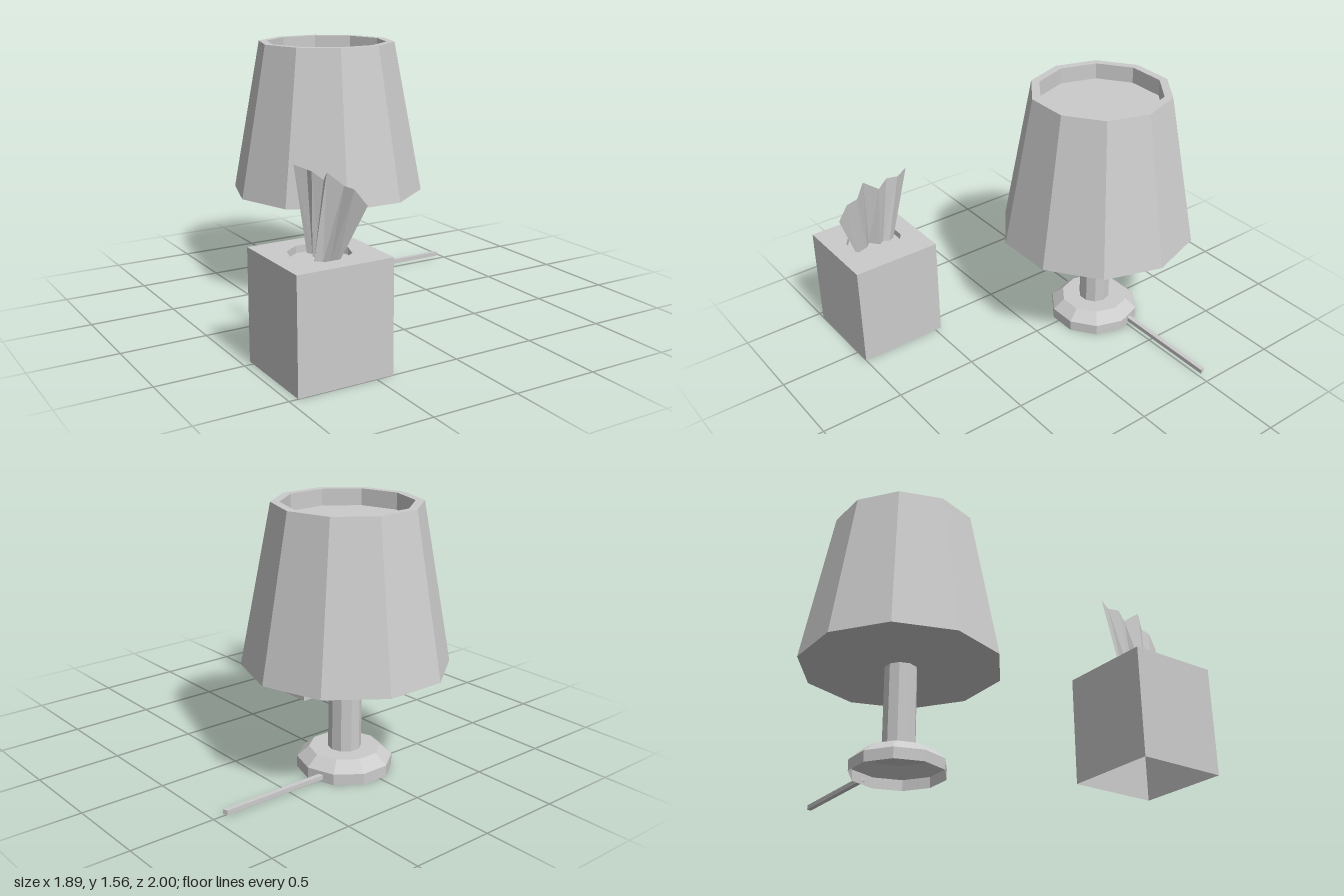
import * as THREE from 'three';

const SIDES = 10;

function mesh(name, geometry, doubleSided = false) {
  const material = new THREE.MeshStandardMaterial({
    color: 0xcccccc,
    flatShading: true,
    side: doubleSided ? THREE.DoubleSide : THREE.FrontSide,
  });
  const m = new THREE.Mesh(geometry, material);
  m.name = name;
  return m;
}

// Ten-sided turned part with corners on the x axis; profile is [radius, y]
function turned(name, profile, doubleSided) {
  const points = profile.map(([r, y]) => new THREE.Vector2(r, y));
  return mesh(name, new THREE.LatheGeometry(points, SIDES, Math.PI / 2), doubleSided);
}

function createLamp() {
  const lamp = new THREE.Group();
  lamp.name = 'lamp';
  // Base is a shell, open underneath
  lamp.add(turned('lampBase', [[0.275, 0], [0.275, 0.065], [0.206, 0.125], [0, 0.125]], true));
  lamp.add(turned('lampPole', [[0.095, 0.125], [0.095, 0.635]], true));
  // Shade with a closed underside and a shallow recess in the top
  lamp.add(turned('lampShade', [
    [0, 0.635], [0.59, 0.635], [0.418, 1.557], [0.368, 1.557], [0.368, 1.46], [0, 1.46],
  ]));
  lamp.position.set(0.035, 0, -0.438);
  return lamp;
}

// Thin square cord with a slanted end, drawn in plan and extruded upward
function createCord() {
  const plan = new THREE.Shape([[0.28, 0.507], [0.945, 0.507], [0.935, 0.535], [0.28, 0.535]]
    .map(([x, y]) => new THREE.Vector2(x, y)));
  const g = new THREE.ExtrudeGeometry(plan, { depth: 0.027, bevelEnabled: false });
  g.rotateX(-Math.PI / 2).translate(0, 0.018, 0);
  return mesh('powerCord', g);
}

function createTissueBox() {
  const w = 0.55, d = 0.54, h = 0.63, holeR = 0.167, floorY = 0.59;
  const box = new THREE.Group();
  box.name = 'tissueBox';

  // Four walls, open underneath
  const walls = new THREE.CylinderGeometry(Math.SQRT1_2, Math.SQRT1_2, h, 4, 1, true);
  walls.rotateY(Math.PI / 4).scale(w, 1, d).translate(0, h / 2, 0);
  box.add(mesh('boxWalls', walls, true));

  // Top panel with a ten-sided opening
  const panel = new THREE.Shape([[-1, -1], [1, -1], [1, 1], [-1, 1]]
    .map(([x, y]) => new THREE.Vector2(x * w / 2, y * d / 2)));
  const hole = [];
  for (let i = 0; i < SIDES; i++) {
    const a = -i / SIDES * Math.PI * 2;
    hole.push(new THREE.Vector2(Math.cos(a) * holeR, Math.sin(a) * holeR));
  }
  panel.holes.push(new THREE.Path(hole));
  const top = new THREE.ShapeGeometry(panel);
  top.rotateX(-Math.PI / 2).translate(0, h, 0);
  box.add(mesh('boxTop', top, true));
  box.add(turned('boxOpening', [[holeR, h], [holeR, floorY], [0, floorY]], true));

  box.position.set(-0.675, 0, 0.73);
  return box;
}

// Pleated sheet between a gathered lower edge and a fanned upper edge
function createTissue() {
  const lower = [
    [-0.675, 0.595], [-0.66, 0.63], [-0.68, 0.665], [-0.66, 0.70],
    [-0.715, 0.745], [-0.68, 0.775], [-0.665, 0.82], [-0.65, 0.865],
  ].map(([x, z]) => [x, 0.59, z]);
  const upper = [
    [-0.68, 1.035, 0.47], [-0.645, 1.02, 0.55], [-0.655, 1.025, 0.62], [-0.625, 0.99, 0.69],
    [-0.655, 1.05, 0.775], [-0.60, 0.99, 0.85], [-0.585, 0.985, 0.925], [-0.555, 0.915, 1.0],
  ];
  const n = lower.length, index = [];
  for (let i = 0; i < n - 1; i++) {
    index.push(i, n + i, i + 1, i + 1, n + i, n + i + 1);
  }
  const g = new THREE.BufferGeometry();
  g.setAttribute('position', new THREE.Float32BufferAttribute([...lower, ...upper].flat(), 3));
  g.setIndex(index);
  g.computeVertexNormals();
  return mesh('tissue', g, true);
}

export function createModel() {
  const model = new THREE.Group();
  model.name = 'lampAndTissueBox';
  model.add(createLamp(), createCord(), createTissueBox(), createTissue());
  return model;
}
